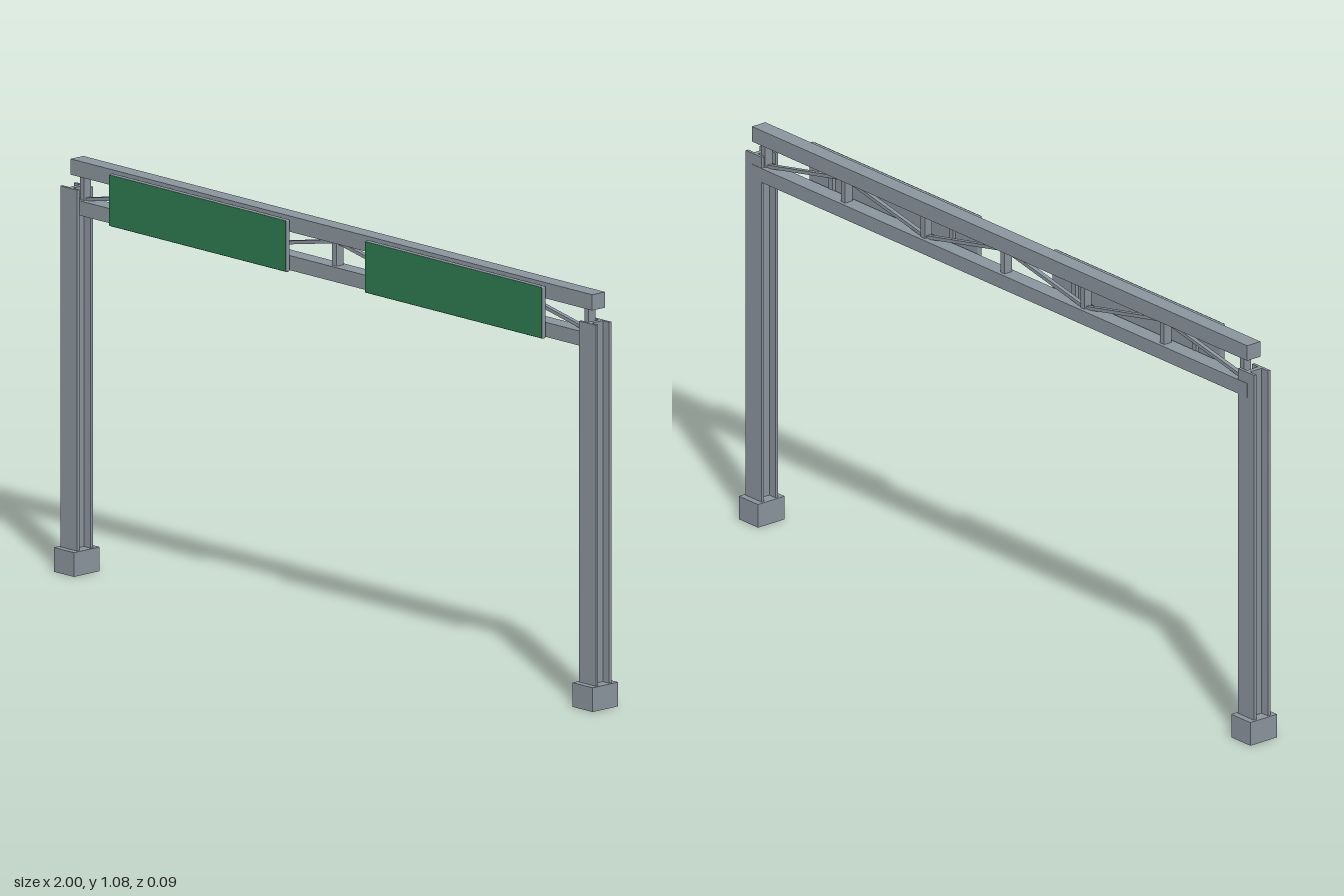
import * as THREE from 'three';
import { RoundedBoxGeometry } from 'three/addons/geometries/RoundedBoxGeometry.js';

export function createModel() {
  const root = new THREE.Group();
  root.name = 'signGantry';
  const steel = new THREE.MeshStandardMaterial({ color: 0x8a949d });
  steel.name = 'galvanised steel';
  const green = new THREE.MeshStandardMaterial({ color: 0x2e7a50 });
  green.name = 'sign green';

  // Box given by its limits on each axis
  const box = (parent, name, x0, x1, y0, y1, z0, z1, mat = steel) => {
    const mesh = new THREE.Mesh(new THREE.BoxGeometry(x1 - x0, y1 - y0, z1 - z0), mat);
    mesh.position.set((x0 + x1) / 2, (y0 + y1) / 2, (z0 + z1) / 2);
    mesh.name = name;
    parent.add(mesh);
    return mesh;
  };

  // I-section outline: flanges face front and back, web between them
  const w = 0.031, d = 0.027, t = 0.007, f = 0.019;
  const section = new THREE.Shape([
    [-w, -d], [w, -d], [w, -f], [t, -f], [t, f], [w, f],
    [w, d], [-w, d], [-w, f], [-t, f], [-t, -f], [-w, -f],
  ].map(([x, y]) => new THREE.Vector2(x, y)));
  const columnGeo = new THREE.ExtrudeGeometry(section, { depth: 0.94, bevelEnabled: false });
  columnGeo.rotateX(-Math.PI / 2);

  // Footings and columns
  for (const s of [-1, 1]) {
    const leg = new THREE.Group();
    leg.name = s > 0 ? 'leftLeg' : 'rightLeg';
    leg.position.x = s * 0.9625;
    box(leg, 'footing', -0.0375, 0.0375, 0, 0.063, -0.044, 0.044);
    const column = new THREE.Mesh(columnGeo, steel);
    column.name = 'column';
    column.position.y = 0.062;
    leg.add(column);
    root.add(leg);
  }

  // Truss: two chords, posts and zigzag braces
  const truss = new THREE.Group();
  truss.name = 'truss';
  root.add(truss);
  const zMid = -0.006;
  box(truss, 'topChord', -0.968, 0.968, 1.034, 1.075, -0.028, 0.016);
  box(truss, 'bottomChord', -0.968, 0.968, 0.934, 0.972, -0.028, 0.016);

  const bay = 0.312, low = 0.972, high = 1.034;
  for (let i = -3; i <= 3; i++) {
    const x = i * bay;
    box(truss, 'post', x - 0.008, x + 0.008, low - 0.002, high + 0.002, zMid - 0.012, zMid + 0.012);
    if (i === 3) break;
    const up = i % 2 !== 0;
    const y0 = up ? low : high, y1 = up ? high : low;
    const brace = new THREE.Mesh(
      new THREE.BoxGeometry(Math.hypot(bay, y1 - y0), 0.009, 0.012), steel);
    brace.name = 'brace';
    brace.position.set(x + bay / 2, (y0 + y1) / 2, zMid);
    brace.rotation.z = Math.atan2(y1 - y0, bay);
    truss.add(brace);
  }

  // Sign panels with their mounting rails
  for (const s of [-1, 1]) {
    const sign = new THREE.Group();
    sign.name = s > 0 ? 'leftSign' : 'rightSign';
    sign.position.x = s * 0.475;
    const panel = new THREE.Mesh(new RoundedBoxGeometry(0.66, 0.136, 0.013, 2, 0.004), steel);
    panel.name = 'signPanel';
    panel.position.set(0, 1.001, 0.0295);
    sign.add(panel);
    box(sign, 'signFace', -0.328, 0.328, 0.935, 1.067, 0.033, 0.037, green);
    for (const r of [-0.235, 0.235])
      box(sign, 'mountingRail', r - 0.008, r + 0.008, 0.94, 1.062, 0.014, 0.025);
    root.add(sign);
  }
  return root;
}
